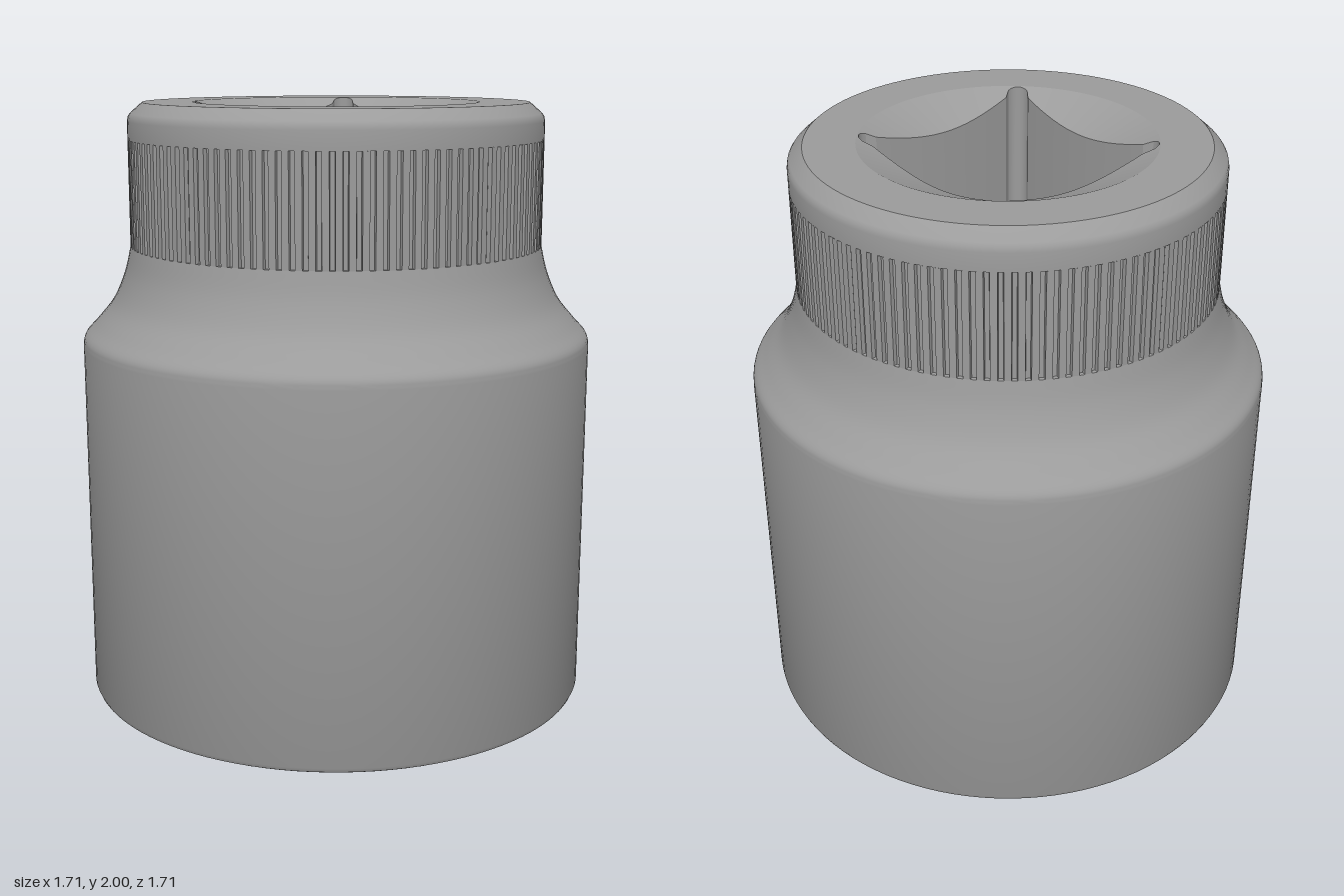
import * as THREE from 'three';
import { toCreasedNormals } from 'three/addons/utils/BufferGeometryUtils.js';

const STEEL = new THREE.MeshStandardMaterial({ color: 0x9c9c9c });
const TAU = Math.PI * 2, DEG = Math.PI / 180;
const FULL = Array.from({ length: 360 }, (_, i) => i * DEG);

// Joins closed rings; each ring maps (angle, index) to [radius, height].
function loft(rings, angles = FULL) {
  const n = angles.length, pos = [], idx = [];
  for (const ring of rings) {
    angles.forEach((t, i) => {
      const [r, y] = ring(t, i);
      pos.push(r * Math.cos(t), y, r * Math.sin(t));
    });
  }
  for (let k = 0; k < rings.length - 1; k++) {
    for (let i = 0; i < n; i++) {
      const a = k * n + i, a1 = k * n + (i + 1) % n;
      idx.push(a, a + n, a1, a + n, a1 + n, a1);
    }
  }
  const g = new THREE.BufferGeometry();
  g.setAttribute('position', new THREE.Float32BufferAttribute(pos, 3));
  g.setIndex(idx);
  return g;
}

function turned(points) {
  return new THREE.LatheGeometry(points.map(([x, y]) => new THREE.Vector2(x, y)), 108);
}

// Angle folded to the nearest flat of a regular polygon
const fold = (t, sides) => {
  const s = TAU / sides;
  return t - Math.round(t / s) * s;
};

// Hexagon with flats on +-x and slightly eased corners
const hexRadius = (t) => Math.min(0.627 / Math.cos(fold(t, 6)), 0.72);

// Square with gently bowed sides and round relief at each corner
function squareRadius(t) {
  const a = Math.abs(fold(t, 4)), d = 0.434, rho = 0.037;
  const s = d * Math.sin(Math.PI / 4 - a);
  if (s < rho) return d * Math.cos(Math.PI / 4 - a) + Math.sqrt(rho * rho - s * s);
  return (0.31 + 0.02 * Math.tan(a) ** 2) / Math.cos(a);
}

export function createModel() {
  const group = new THREE.Group();
  const add = (name, geometry, crease = 0.5) => {
    const mesh = new THREE.Mesh(toCreasedNormals(geometry, crease), STEEL);
    mesh.name = name;
    group.add(mesh);
  };

  const neckR = 0.69, bandLow = 1.53, bandHigh = 1.88;
  const sinkSlope = 0.42, mouthSlope = 0.38, floorY = 1.1;
  const mouthR = 0.79, sinkR = 0.475;

  // Body: rounded bottom rim, straight wall, shoulder sweeping into the neck
  const shoulder = new THREE.SplineCurve([
    [0.855, 1.2], [0.848, 1.235], [0.808, 1.28], [0.752, 1.35], [0.712, 1.44], [neckR, bandLow],
  ].map(([x, y]) => new THREE.Vector2(x, y))).getPoints(24).map((p) => [p.x, p.y]);
  add('body', turned([[mouthR, 0], [0.838, 0], [0.849, 0.006], [0.855, 0.02], ...shoulder]));

  // Collar: plain ring, softened bevel and flat top face
  add('collar', turned([
    [neckR, bandHigh], [neckR, 1.94], [0.687, 1.955], [0.68, 1.965], [0.64, 2], [sinkR, 2],
  ]));

  // Knurled band: ridges and shallow grooves with closed ends
  const ridges = 108, grooveR = neckR - 0.014;
  const steps = [0, 0.55, 0.6, 0.95], angles = [];
  for (let i = 0; i < ridges; i++) for (const s of steps) angles.push((i + s) / ridges * TAU);
  const band = (y) => (t, i) => [i % 4 < 2 ? neckR : grooveR, y];
  const plain = (y) => () => [neckR, y];
  add('knurledBand', loft([plain(bandLow), band(bandLow), band(bandHigh), plain(bandHigh)], angles), 0.3);

  // Square drive hole with conical countersink
  add('squareDrive', loft([
    () => [sinkR, 2],
    (t) => [squareRadius(t), 2 - sinkSlope * (sinkR - squareRadius(t))],
    (t) => [squareRadius(t), floorY],
  ]));

  // Hexagonal recess: floor, walls and chamfered mouth
  add('hexRecess', loft([
    (t) => [squareRadius(t), floorY],
    (t) => [hexRadius(t), floorY],
    (t) => [hexRadius(t), mouthSlope * (mouthR - hexRadius(t))],
    () => [mouthR, 0],
  ]));

  return group;
}
